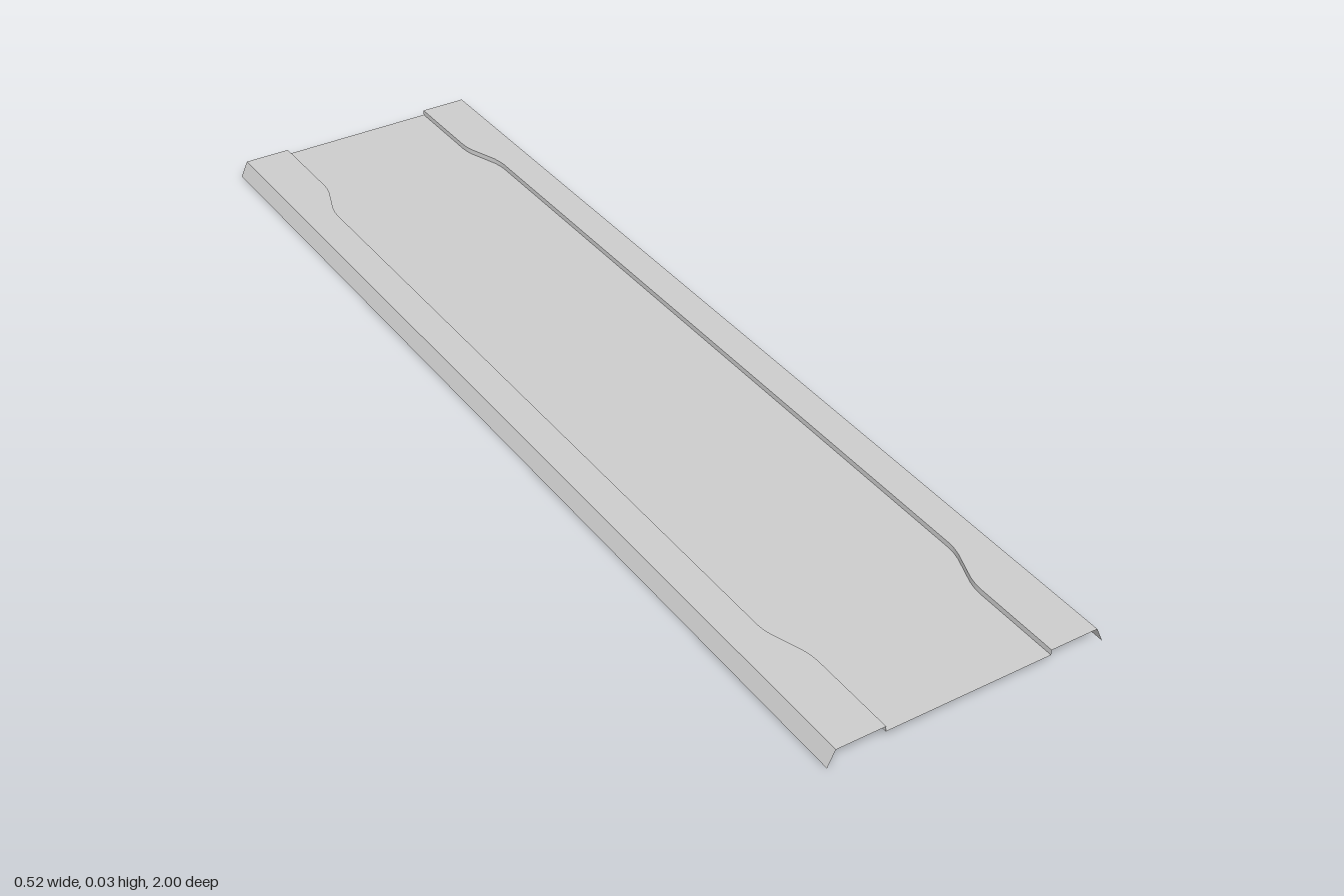
import * as THREE from 'three';

const DECK_Y = 0.02, RIM_Y = 0.03;
const RIM_X = 0.248, FOOT_X = 0.262;

// Half-width of the recessed deck, [z, x], narrowing towards both ends
const halfEdge = [[0.715, 0.187], [0.73, 0.1855], [0.745, 0.182], [0.8, 0.162], [0.815, 0.1585], [0.83, 0.157], [1, 0.157]];
const edge = [...halfEdge.map(([z, x]) => [-z, x]).reverse(), ...halfEdge];

const material = new THREE.MeshStandardMaterial({ color: 0xcccccc, side: THREE.DoubleSide });

// Sheet between two lines running along z; a and b turn the deck half-width into [x, y]
function sheet(name, a, b) {
  const positions = [], index = [];
  edge.forEach(([z, w], i) => {
    const [ax, ay] = a(w), [bx, by] = b(w);
    positions.push(ax, ay, z, bx, by, z);
    if (i > 0) {
      const k = 2 * i - 2;
      index.push(k, k + 2, k + 3, k, k + 3, k + 1);
    }
  });
  const geometry = new THREE.BufferGeometry();
  geometry.setAttribute('position', new THREE.Float32BufferAttribute(positions, 3));
  geometry.setIndex(index);
  geometry.computeVertexNormals();
  const mesh = new THREE.Mesh(geometry, material);
  mesh.name = name;
  return mesh;
}

export function createModel() {
  const group = new THREE.Group();
  group.name = 'coverPanel';

  // Recessed centre
  group.add(sheet('deck', (w) => [-w, DECK_Y], (w) => [w, DECK_Y]));

  // Step, raised shoulder and sloping flange on each side
  const parts = {
    Step: [(w) => [w, DECK_Y], (w) => [w, RIM_Y]],
    Shoulder: [(w) => [w, RIM_Y], () => [RIM_X, RIM_Y]],
    Flange: [() => [RIM_X, RIM_Y], () => [FOOT_X, 0]],
  };
  for (const [name, [inner, outer]] of Object.entries(parts)) {
    const mirror = (line) => (w) => [-line(w)[0], line(w)[1]];
    group.add(sheet('left' + name, inner, outer));
    group.add(sheet('right' + name, mirror(outer), mirror(inner)));
  }
  return group;
}
